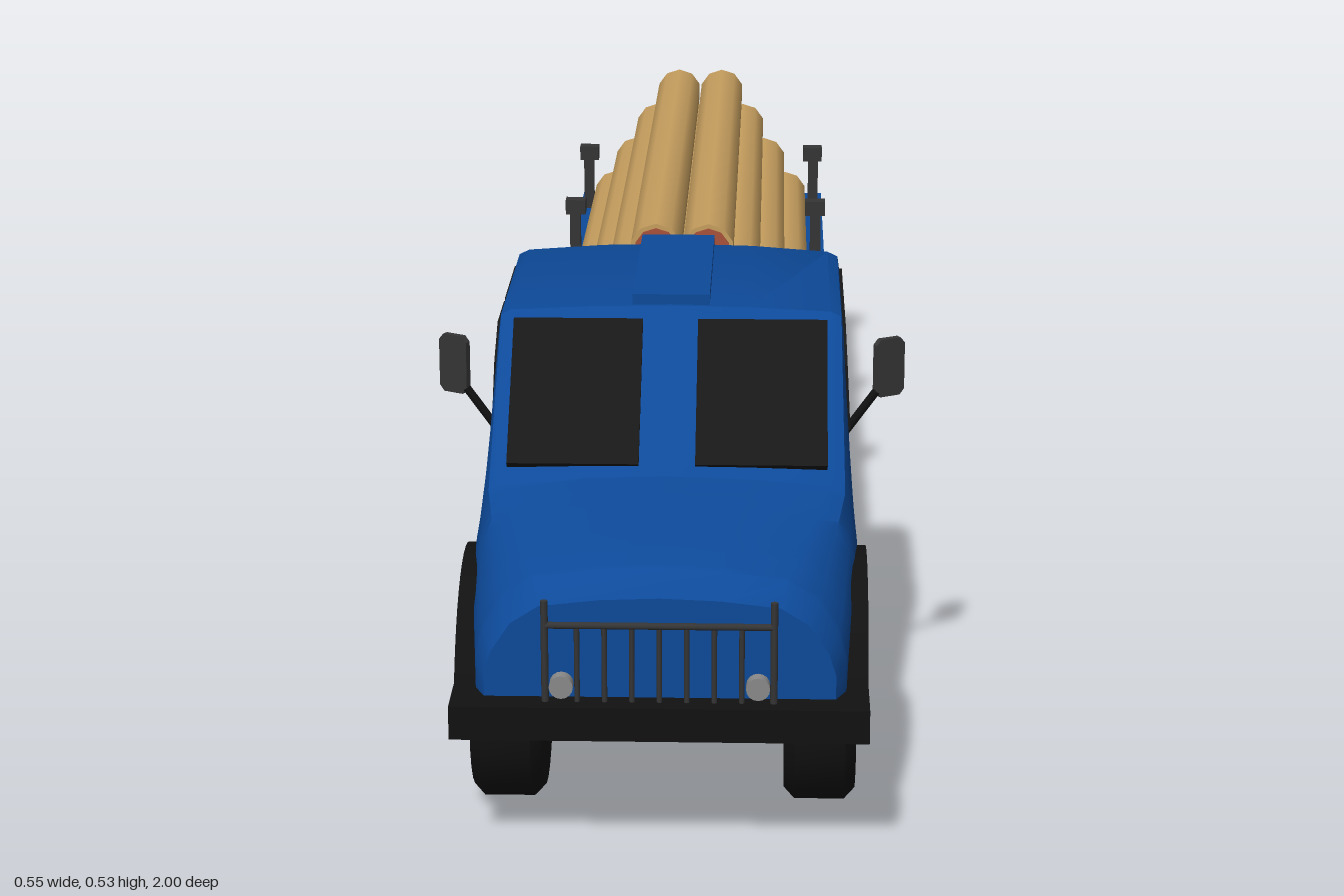
import * as THREE from 'three';
import { toCreasedNormals } from 'three/addons/utils/BufferGeometryUtils.js';

const mat = (color, side = THREE.FrontSide) => new THREE.MeshStandardMaterial({ color, side });
const BLUE = mat(0x0d4a9a), BLACK = mat(0x111111), GREY = mat(0x353535), GLASS = mat(0x181818),
  BARK = mat(0xc79f5f), CUT = mat(0xa9523a), RED = mat(0xb01010), LAMP = mat(0x8a8a8a);

function add(parent, name, geo, material, x = 0, y = 0, z = 0) {
  const m = new THREE.Mesh(geo, material);
  m.name = name;
  m.position.set(x, y, z);
  parent.add(m);
  return m;
}
// Box given by its limits on each axis
function box(parent, name, material, x0, x1, y0, y1, z0, z1) {
  return add(parent, name, new THREE.BoxGeometry(x1 - x0, y1 - y0, z1 - z0), material,
    (x0 + x1) / 2, (y0 + y1) / 2, (z0 + z1) / 2);
}
// Rod between two points
function rod(parent, name, material, a, b, r, sides = 8) {
  const p = new THREE.Vector3(...a), q = new THREE.Vector3(...b), d = q.clone().sub(p);
  const m = add(parent, name, new THREE.CylinderGeometry(r, r, d.length(), sides), material);
  m.position.copy(p).add(q).multiplyScalar(0.5);
  m.quaternion.setFromUnitVectors(new THREE.Vector3(0, 1, 0), d.normalize());
  return m;
}
// Extrude a (z, y) outline along x, from x0 to x1
function sidePlate(points, x0, x1) {
  const g = new THREE.ExtrudeGeometry(new THREE.Shape(points.map(p => new THREE.Vector2(...p))),
    { depth: x1 - x0, bevelEnabled: false });
  return g.rotateY(-Math.PI / 2).translate(x1, 0, 0);
}
// Outline of an elliptical band, from angle a0 to a1
function band(cz, cy, rz, ry, t, a0, a1, n = 20) {
  const pts = [];
  for (let i = 0; i <= n; i++) {
    const a = a0 + (a1 - a0) * i / n;
    pts.push([cz + rz * Math.cos(a), cy + ry * Math.sin(a)]);
  }
  for (let i = n; i >= 0; i--) {
    const a = a0 + (a1 - a0) * i / n;
    pts.push([cz + (rz - t) * Math.cos(a), cy + (ry - t) * Math.sin(a)]);
  }
  return pts;
}

// Cab sections: z, lower width, belt y, shoulder x, y, roof edge x, y, centre y
const SECTIONS = [
  [0.294, 0.200, 0.29, 0.193, 0.485, 0.180, 0.508, 0.516],
  [0.310, 0.211, 0.29, 0.201, 0.490, 0.186, 0.514, 0.523],
  [0.585, 0.214, 0.29, 0.201, 0.490, 0.186, 0.514, 0.520],
  [0.745, 0.216, 0.29, 0.208, 0.325, 0.186, 0.354, 0.364],
  [0.800, 0.214, 0.285, 0.206, 0.308, 0.172, 0.342, 0.357],
  [0.900, 0.206, 0.250, 0.198, 0.275, 0.150, 0.325, 0.340],
  [0.945, 0.201, 0.225, 0.192, 0.258, 0.138, 0.316, 0.328],
  [0.968, 0.190, 0.215, 0.182, 0.240, 0.130, 0.292, 0.302],
];
const WZ = 0.787, WR = 0.113;   // front wheel centre and wheel radius

function cabRing(z) {
  let i = 0;
  while (i < SECTIONS.length - 2 && z > SECTIONS[i + 1][0]) i++;
  const A = SECTIONS[i], B = SECTIONS[i + 1], t = (z - A[0]) / (B[0] - A[0]);
  const [, w, belt, ws, ys, wt, yt, top] = A.map((v, k) => v + (B[k] - v) * t);
  // The underside follows the wheel arch
  const u = (z - WZ) / 0.15;
  let yb = 0.1;
  if (u > -1) yb = 0.113 + 0.165 * Math.sqrt(Math.max(0, 1 - u * u));
  if (u > 0) yb = Math.max(yb, 0.185);
  const half = [[w, yb], [w, belt], [ws, ys], [(ws + wt) / 2 + 0.005, (ys + yt) / 2 + 0.006],
    [wt, yt], [wt * 0.5, yt + (top - yt) * 0.75]];
  return [[0, yb], ...half, [0, top], ...half.slice().reverse().map(([x, y]) => [-x, y])];
}

function cabGeometry() {
  const zs = SECTIONS.map(s => s[0]);
  zs.push(0.6365);
  for (let i = 0; i <= 16; i++) zs.push(WZ - 0.15 * Math.cos(Math.PI * i / 16));
  zs.sort((a, b) => a - b);
  const pos = [], idx = [], n = cabRing(0.3).length;
  zs.forEach(z => cabRing(z).forEach(([x, y]) => pos.push(x, y, z)));
  for (let r = 0; r < zs.length - 1; r++) for (let j = 0; j < n; j++) {
    const a = r * n + j, b = r * n + (j + 1) % n;
    idx.push(a, b, b + n, a, b + n, a + n);
  }
  const last = (zs.length - 1) * n;
  for (let j = 1; j < n - 1; j++) {
    idx.push(0, j + 1, j);
    idx.push(last, last + j, last + j + 1);
  }
  const g = new THREE.BufferGeometry();
  g.setAttribute('position', new THREE.Float32BufferAttribute(pos, 3));
  g.setIndex(idx);
  return toCreasedNormals(g, 0.6);
}

function makeWheel(parent, name, side, xOuter, z, width) {
  const g = new THREE.Group(), h = width / 2;
  g.name = name;
  const tyre = [[0, -h], [0.1, -h], [WR, -h + 0.012], [WR, h - 0.012], [0.1, h], [0.066, h], [0.06, h - 0.012], [0, h - 0.012]];
  add(g, 'tyre', toCreasedNormals(new THREE.LatheGeometry(tyre.map(p => new THREE.Vector2(...p)), 24), 0.5), BLACK);
  add(g, 'rim', new THREE.CylinderGeometry(0.06, 0.062, 0.01, 24), GREY, 0, h - 0.008, 0);
  add(g, 'hub', new THREE.CylinderGeometry(0.028, 0.028, 0.008, 16), BLACK, 0, h - 0.004, 0);
  g.rotation.z = -side * Math.PI / 2;
  g.position.set(side * (xOuter - h), WR, z);
  parent.add(g);
}

export function createModel() {
  const root = new THREE.Group();
  root.name = 'logTruck';

  // Cab
  add(root, 'cab', cabGeometry(), BLUE);
  box(root, 'roofPanel', BLUE, -0.045, 0.045, 0.5, 0.532, 0.3, 0.58);
  box(root, 'rearSill', BLACK, -0.2, 0.2, 0.095, 0.106, 0.29, 0.3);
  for (const s of [-1, 1]) {
    const screen = add(root, 'windscreen', new THREE.BoxGeometry(0.15, 0.189, 0.012), GLASS, s * 0.107, 0.4385, 0.667);
    screen.rotation.x = -0.785;
    const panes = [
      [[0.6, 0.375], [0.6, 0.455], [0.572, 0.495], [0.482, 0.495], [0.482, 0.375]],
      [[0.47, 0.375], [0.47, 0.495], [0.32, 0.495], [0.32, 0.375]],
    ];
    for (const pane of panes) {
      const g = sidePlate(pane, -0.006, 0.006), p = g.attributes.position;
      // Lean the glass with the cab wall
      for (let i = 0; i < p.count; i++) p.setX(i, p.getX(i) + s * (0.2045 - (p.getY(i) - 0.375) * 0.055));
      g.computeVertexNormals();
      add(root, 'sideWindow', g, GLASS);
    }
    box(root, 'sill', BLACK, s * 0.21 - 0.006, s * 0.21 + 0.006, 0.095, 0.106, 0.3, 0.636);
    const x0 = s > 0 ? 0.165 : -0.226;
    add(root, 'frontFender', sidePlate(band(WZ, 0.1, 0.165, 0.19, 0.022, 0.4, Math.PI), x0, x0 + 0.061), BLACK);

    // Mirror
    rod(root, 'mirrorArm', BLACK, [s * 0.205, 0.37, 0.59], [s * 0.24, 0.418, 0.587], 0.005);
    const face = new THREE.Shape([[-0.013, -0.035], [0.013, -0.035], [0.019, -0.028], [0.019, 0.028],
      [0.013, 0.035], [-0.013, 0.035], [-0.019, 0.028], [-0.019, -0.028]].map(p => new THREE.Vector2(...p)));
    const mirror = add(root, 'mirror', new THREE.ExtrudeGeometry(face, { depth: 0.008, bevelEnabled: false }),
      GREY, s * 0.253, 0.445, 0.572);
    mirror.rotation.y = s * 0.5;

    // Headlight
    const lamp = add(root, 'headlight', new THREE.CylinderGeometry(0.013, 0.013, 0.02, 16), LAMP, s * 0.106, 0.204, 0.972);
    lamp.rotation.x = Math.PI / 2;
  }

  // Bumper and front guard
  box(root, 'bumper', BLACK, -0.226, 0.226, 0.15, 0.188, 0.928, 1.0);
  for (const s of [-1, 1]) rod(root, 'guardPost', GREY, [s * 0.123, 0.18, 0.98], [s * 0.123, 0.303, 0.98], 0.004);
  rod(root, 'guardRail', GREY, [-0.123, 0.275, 0.98], [0.123, 0.275, 0.98], 0.004);
  for (let i = -3; i <= 3; i++) rod(root, 'guardBar', GREY, [i * 0.0295, 0.18, 0.98], [i * 0.0295, 0.275, 0.98], 0.003);

  // Chassis and flat bed
  box(root, 'rearCabBox', GREY, -0.195, 0.195, 0.165, 0.268, 0.218, 0.296);
  box(root, 'chassis', GREY, -0.08, 0.08, 0.203, 0.246, -0.965, 0.22);
  box(root, 'deck', BLUE, -0.197, 0.197, 0.245, 0.272, -1.0, 0.219);
  box(root, 'tailPanel', BLUE, -0.197, 0.197, 0.21, 0.25, -0.999, -0.96);
  box(root, 'tailPlate', BLACK, -0.045, 0.045, 0.2, 0.232, -1.0, -0.97);
  for (const s of [-1, 1]) {
    box(root, 'tailLight', RED, s * 0.125 - 0.018, s * 0.125 + 0.018, 0.226, 0.248, -1.0, -0.98);
    for (const z of [0.2, -0.163, -0.528, -0.893]) {
      box(root, 'stake', GREY, s * 0.182 - 0.008, s * 0.182 + 0.008, 0.27, 0.36, z - 0.007, z + 0.007);
      box(root, 'stakeCap', GREY, s * 0.181 - 0.015, s * 0.181 + 0.015, 0.353, 0.375, z - 0.011, z + 0.011);
    }
  }

  // Wheels, axles and rear fenders
  for (const z of [WZ, -0.35, -0.636]) {
    const front = z === WZ;
    rod(root, 'axle', GREY, [-0.17, WR + 0.005, z], [0.17, WR + 0.005, z], 0.011, 10);
    for (const s of [-1, 1]) {
      makeWheel(root, front ? 'frontWheel' : 'rearWheel', s, front ? 0.215 : 0.206, z, front ? 0.08 : 0.09);
      if (front) continue;
      const x0 = s > 0 ? 0.11 : -0.2;
      add(root, 'rearFender', sidePlate(band(z, WR, 0.142, 0.138, 0.008, -0.08, Math.PI + 0.08), x0, x0 + 0.09), BLACK);
    }
  }

  // Stacked logs
  const R = 0.034, bark = new THREE.CylinderGeometry(R, R, 1.01, 10);
  const cut = new THREE.CylinderGeometry(R * 0.83, R * 0.83, 1.014, 10);
  for (let row = 0; row < 4; row++) for (let i = 0; i < 5 - row; i++) {
    const x = (i - (4 - row) / 2) * 2 * R, y = 0.272 + R + row * 0.0557;
    add(root, 'log', bark, BARK, x, y, -0.358).rotation.x = Math.PI / 2;
    add(root, 'logEnds', cut, CUT, x, y, -0.358).rotation.x = Math.PI / 2;
  }
  return root;
}
